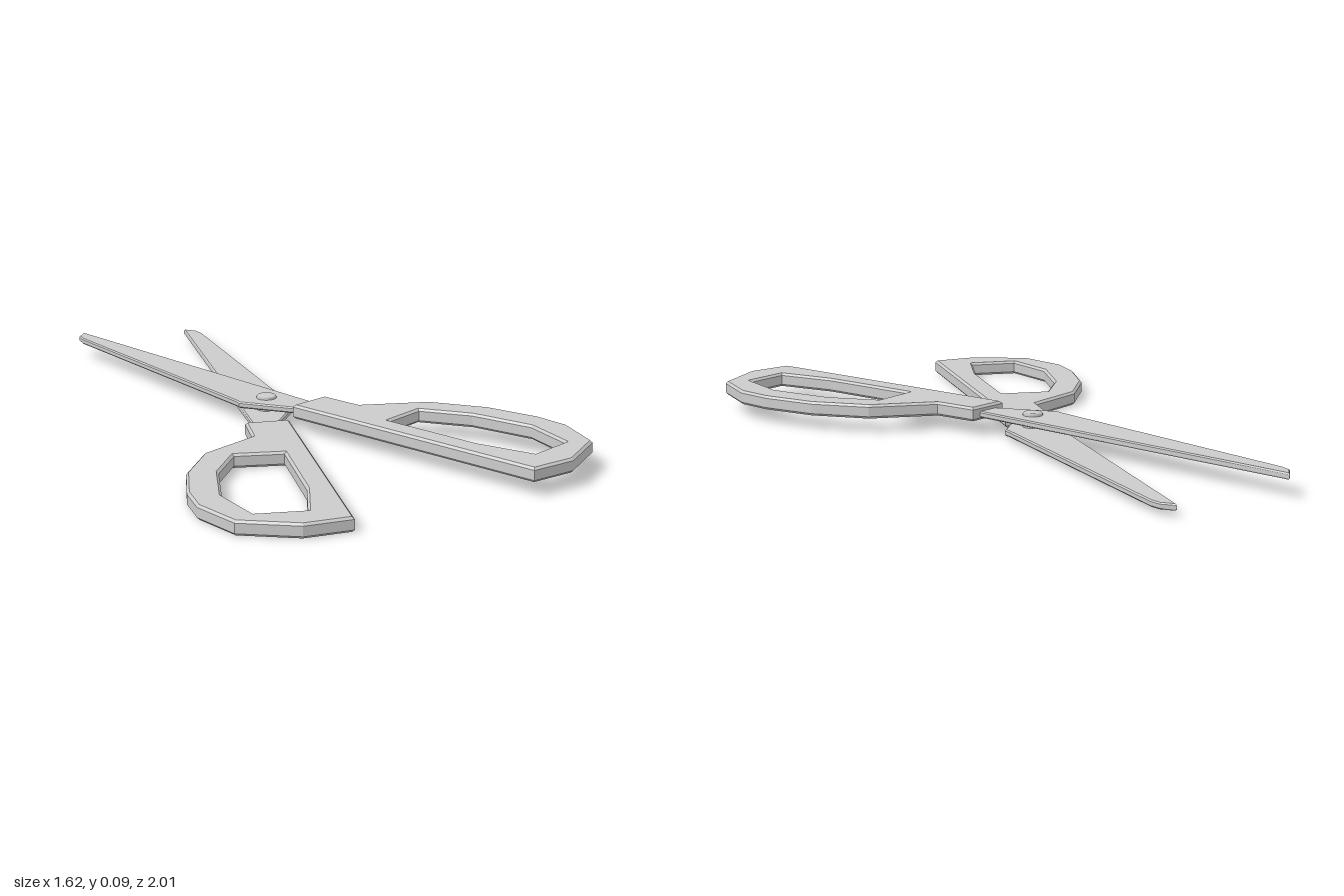
import * as THREE from 'three';

const material = new THREE.MeshStandardMaterial({ color: 0xcccccc });
const PIVOT = [-0.143, -0.067];
const HEIGHT = 0.086;

// Plan outlines [x, z] of the upper half; the lower half is their mirror image.
const handleOutline = [
  [0.034, -0.039], [0.14, 0.047], [0.347, 0.007], [0.523, 0.057], [0.667, 0.148],
  [0.747, 0.229], [0.808, 0.38], [0.743, 0.549], [0.631, 0.642], [-0.057, 0.061],
];
const fingerHole = [
  [0.318, 0.09], [0.474, 0.133], [0.641, 0.243], [0.73, 0.394],
  [0.639, 0.506], [0.481, 0.416], [0.349, 0.305], [0.23, 0.205],
];
const bladeOutline = [
  [-0.8, -0.817], [-0.808, -0.771], [-0.793, -0.738], [-0.232, -0.032], [-0.223, -0.015],
  [-0.03, 0.043], [0.03, 0.06], [0.05, 0.02], [0.013, -0.016],
];

// Reflect plan points across the line through the pivot at the given angle.
function reflect(points, degrees) {
  const a = THREE.MathUtils.degToRad(2 * degrees);
  const c = Math.cos(a), s = Math.sin(a);
  return points.map(([x, z]) => {
    const dx = x - PIVOT[0], dz = z - PIVOT[1];
    return [PIVOT[0] + c * dx + s * dz, PIVOT[1] + s * dx - c * dz];
  });
}

// Plan points as shape points, always anticlockwise or always clockwise.
function toLoop(points, clockwise) {
  const loop = points.map(([x, z]) => new THREE.Vector2(x, -z));
  return THREE.ShapeUtils.isClockWise(loop) === clockwise ? loop : loop.reverse();
}

// Flat plate with chamfered edges, lying between two heights.
function plate(name, outline, hole, bottom, top, bevel) {
  const shape = new THREE.Shape(toLoop(outline, false));
  if (hole) shape.holes.push(new THREE.Path(toLoop(hole, true)));
  const geometry = new THREE.ExtrudeGeometry(shape, {
    depth: top - bottom - 2 * bevel,
    bevelEnabled: true, bevelSegments: 1,
    bevelThickness: bevel, bevelSize: bevel, bevelOffset: -bevel,
  });
  geometry.rotateX(-Math.PI / 2);
  geometry.translate(0, bottom + bevel, 0);
  const mesh = new THREE.Mesh(geometry, material);
  mesh.name = name;
  return mesh;
}

export function createModel() {
  const model = new THREE.Group();
  model.name = 'scissors';

  const upper = new THREE.Group();
  upper.name = 'upperHalf';
  upper.add(
    plate('upperHandle', handleOutline, fingerHole, 0.043, HEIGHT, 0.007),
    plate('upperBlade', bladeOutline, null, 0.051, 0.07, 0.004),
  );

  const lower = new THREE.Group();
  lower.name = 'lowerHalf';
  lower.add(
    plate('lowerHandle', reflect(handleOutline, 58.2), reflect(fingerHole, 58.2), 0, 0.043, 0.007),
    plate('lowerBlade', reflect(bladeOutline, 59.5), null, 0.016, 0.035, 0.004),
  );

  // Rivet with softly chamfered heads
  const rivetProfile = [[0, 0.008], [0.026, 0.008], [0.03, 0.012], [0.03, 0.075], [0.026, 0.079], [0, 0.079]];
  const rivetGeometry = new THREE.LatheGeometry(rivetProfile.map(([r, y]) => new THREE.Vector2(r, y)), 20);
  const rivet = new THREE.Mesh(rivetGeometry, material);
  rivet.name = 'pivotRivet';
  rivet.position.set(PIVOT[0], 0, PIVOT[1]);

  model.add(upper, lower, rivet);
  return model;
}
